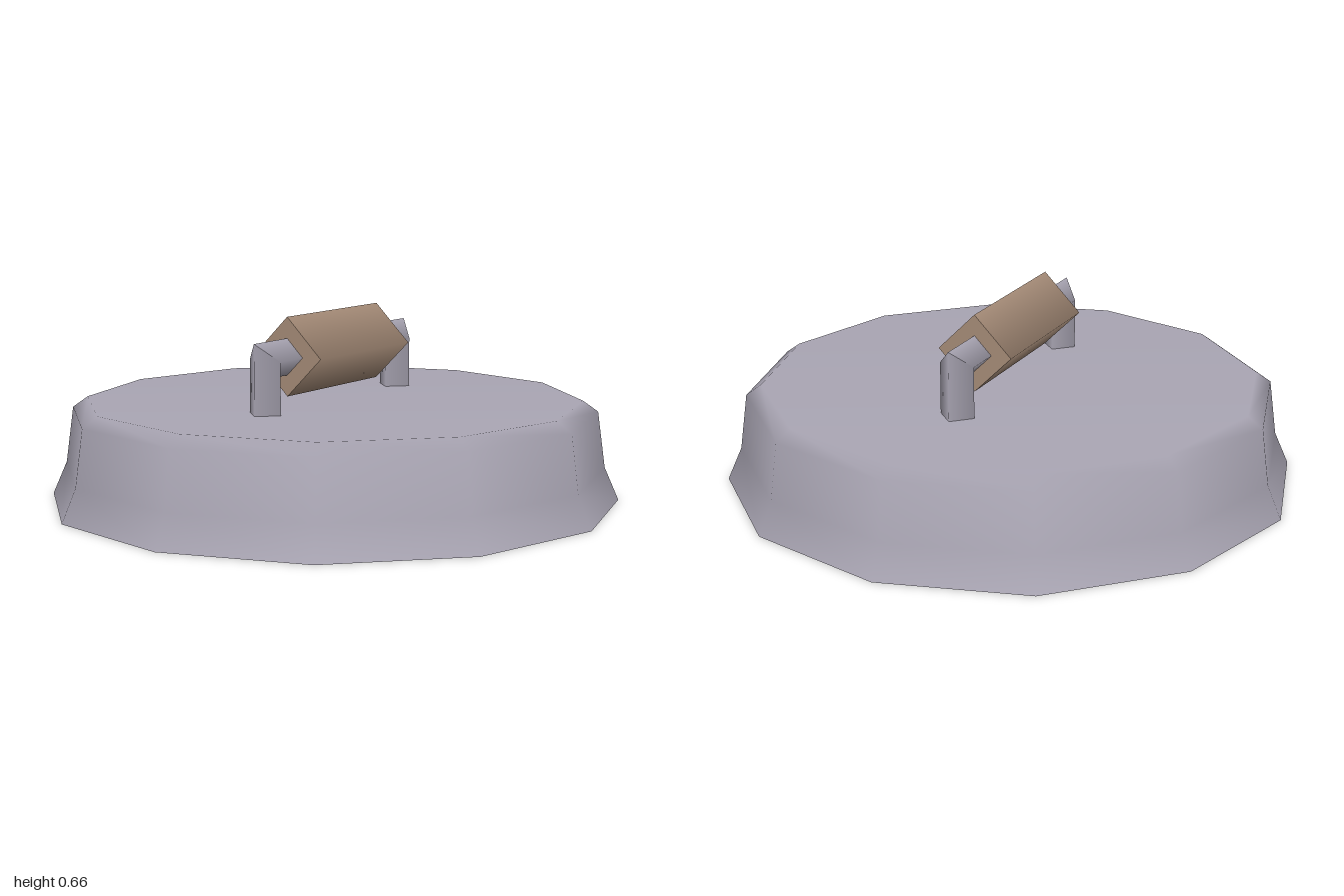
import * as THREE from 'three';

const metal = new THREE.MeshStandardMaterial({ color: 0xaaa6b4 });
metal.name = 'greyMetal';
const wood = new THREE.MeshStandardMaterial({ color: 0xa68c78 });
wood.name = 'brownWood';

const SIDES = 12;
const LID_TOP = 0.35;   // height of the lid's flat top
const BAR_Y = 0.528;    // height of the handle's axis
const LEG_Z = 0.41;     // distance of each leg from the centre
const ROD = 0.0625;     // radius of the square rod

function add(group, name, geometry, material) {
  const mesh = new THREE.Mesh(geometry, material);
  mesh.name = name;
  group.add(mesh);
  return mesh;
}

// Square rod standing on one edge, its ends slanted to meet in mitred corners
function mitredRod(length, topSlope, bottomSlope) {
  const geo = new THREE.CylinderGeometry(ROD, ROD, length, 4, 1, true);
  const p = geo.attributes.position;
  for (let i = 0; i < p.count; i++) {
    const slope = p.getY(i) > 0 ? topSlope : bottomSlope;
    p.setY(i, p.getY(i) + slope * p.getZ(i));
  }
  return geo;
}

export function createModel() {
  const model = new THREE.Group();
  model.name = 'hatchLid';

  // Flared lid with a bevelled rim
  const profile = [[1, 0], [0.95, 0.115], [0.923, 0.312], [0.87, LID_TOP], [0, LID_TOP]]
    .map(([r, y]) => new THREE.Vector2(r, y));
  add(model, 'lid', new THREE.LatheGeometry(profile, SIDES), metal);

  // Flat underside
  add(model, 'underside', new THREE.CircleGeometry(1, SIDES).rotateX(Math.PI / 2), metal);

  // Handle: two legs, a crossbar and a grip
  const handle = new THREE.Group();
  handle.name = 'handle';
  model.add(handle);

  const legHeight = BAR_Y - LID_TOP;
  for (const side of [1, -1]) {
    const leg = add(handle, side > 0 ? 'frontLeg' : 'backLeg', mitredRod(legHeight, side, 0), metal);
    leg.position.set(0, LID_TOP + legHeight / 2, side * LEG_Z);
  }

  const bar = add(handle, 'crossbar', mitredRod(LEG_Z * 2, -1, 1).rotateX(Math.PI / 2), metal);
  bar.position.y = BAR_Y;

  const grip = add(handle, 'grip',
    new THREE.CylinderGeometry(0.135, 0.135, 0.564, 4).rotateX(Math.PI / 2), wood);
  grip.position.y = BAR_Y;

  return model;
}
